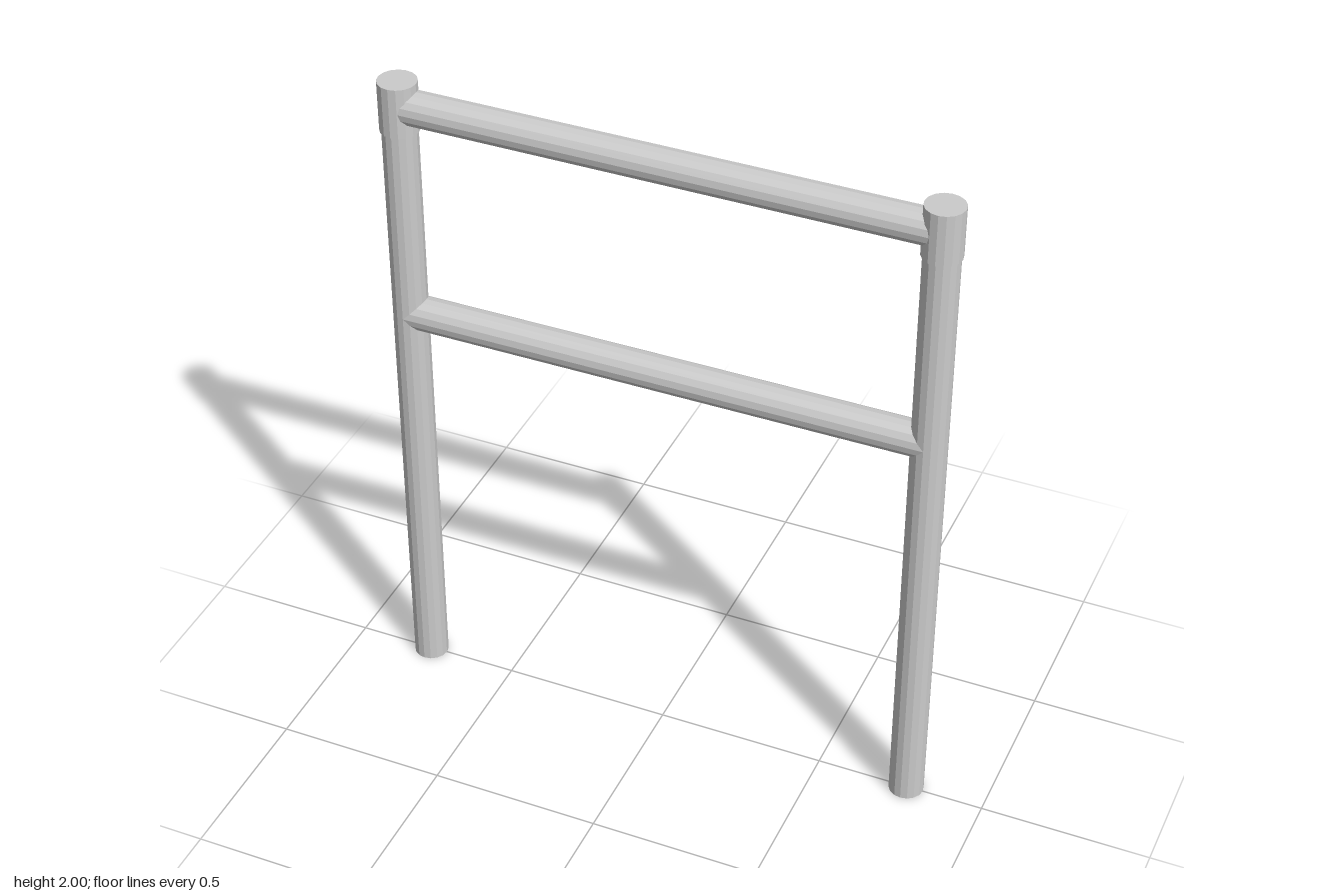
import * as THREE from 'three';

const SIDES = 16;
const POST_X = 0.77;
const RADIUS = 0.051;

export function createModel() {
  const model = new THREE.Group();
  model.name = 'railing';
  const material = new THREE.MeshStandardMaterial({ color: 0xcccccc, flatShading: true });

  // Capped tube, upright by default
  function tube(name, radius, length, x, y) {
    const geometry = new THREE.CylinderGeometry(radius, radius, length, SIDES);
    const mesh = new THREE.Mesh(geometry, material);
    mesh.name = name;
    mesh.position.set(x, y, 0);
    model.add(mesh);
    return mesh;
  }

  // Posts, each with a slightly wider collar on top
  for (const [side, sign] of [['left', 1], ['right', -1]]) {
    tube(side + 'Post', RADIUS, 1.98, sign * POST_X, 0.99);
    tube(side + 'Collar', 0.056, 0.15, sign * POST_X, 1.925);
  }

  // Horizontal rails running between the post centres
  for (const [name, y] of [['topRail', 1.925], ['middleRail', 1.257]]) {
    tube(name, RADIUS, 2 * POST_X, 0, y).rotation.z = Math.PI / 2;
  }

  return model;
}
